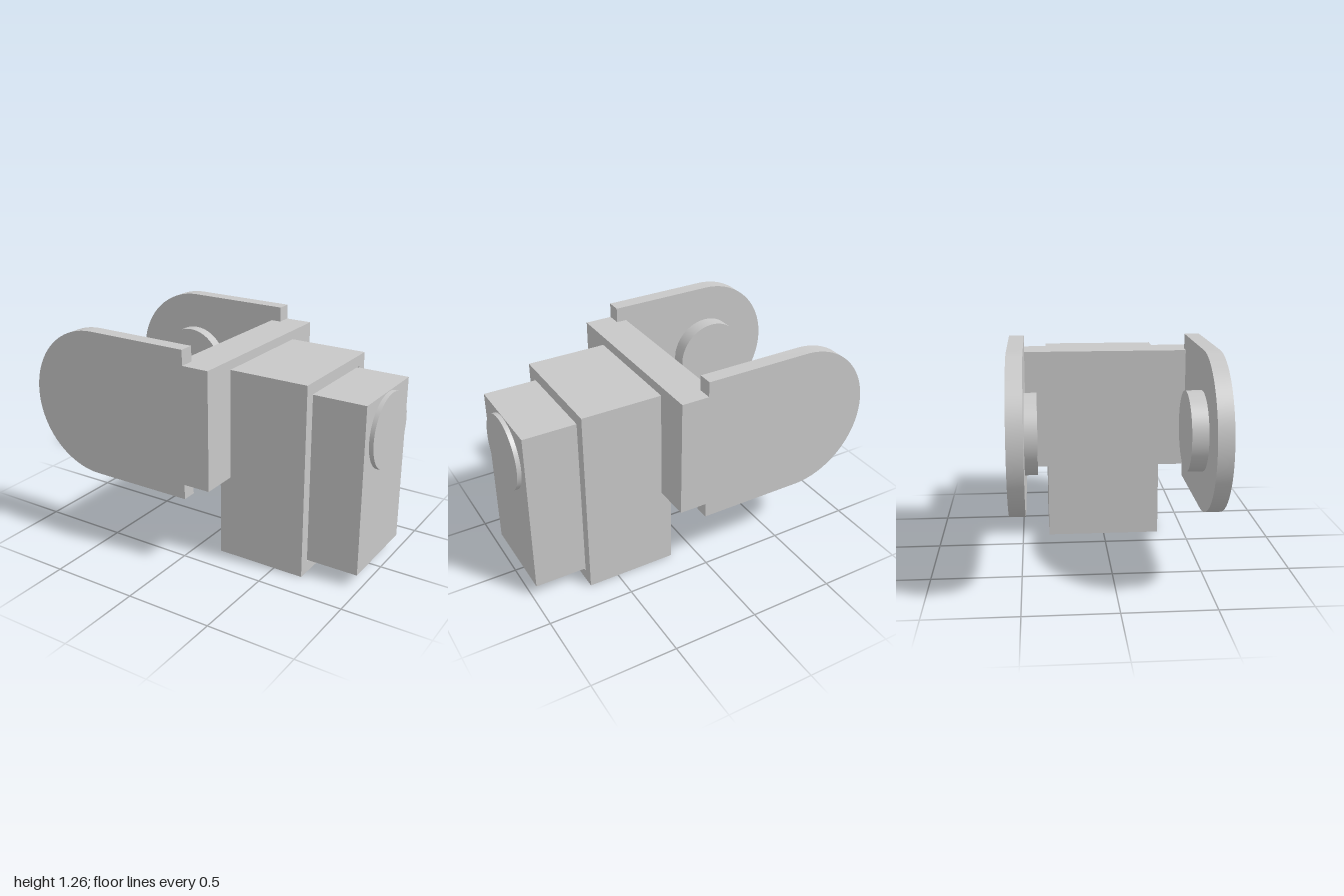
import * as THREE from 'three';
import { toCreasedNormals } from 'three/addons/utils/BufferGeometryUtils.js';

const AXIS_Y = 0.83; // height of the pivot axis

export function createModel() {
  const model = new THREE.Group();
  const grey = new THREE.MeshStandardMaterial({ color: 0xc8c8c8 });
  grey.name = 'light grey';

  const add = (name, geometry, x = 0, y = 0, z = 0) => {
    const mesh = new THREE.Mesh(geometry, grey);
    mesh.name = name;
    mesh.position.set(x, y, z);
    model.add(mesh);
    return mesh;
  };

  // Box given by its limits, symmetric about z = 0
  const block = (name, x0, x1, y0, y1, halfZ) =>
    add(name, new THREE.BoxGeometry(x1 - x0, y1 - y0, halfZ * 2), (x0 + x1) / 2, (y0 + y1) / 2, 0);

  // Rounded fork arm with a narrower root that joins the crossbar
  const r = 0.43, root = 0.343;
  const outline = new THREE.Shape();
  outline.moveTo(-0.57, -r);
  outline.lineTo(0.05, -r);
  outline.lineTo(0.05, -root);
  outline.lineTo(0.21, -root);
  outline.lineTo(0.21, root);
  outline.lineTo(0.05, root);
  outline.lineTo(0.05, r);
  outline.lineTo(-0.57, r);
  outline.absarc(-0.57, 0, r, Math.PI / 2, Math.PI * 1.5, false);
  const armGeometry = toCreasedNormals(
    new THREE.ExtrudeGeometry(outline, { depth: 0.085, bevelEnabled: false, curveSegments: 48 }), 0.5);
  add('leftForkArm', armGeometry, 0, AXIS_Y, 0.468);
  add('rightForkArm', armGeometry, 0, AXIS_Y, -0.553);

  // Pivot bosses on the inner faces of the arms; one is longer
  const boss = (name, z0, z1) => {
    const g = new THREE.CylinderGeometry(0.215, 0.215, z1 - z0, 64).rotateX(Math.PI / 2);
    add(name, g, -0.57, AXIS_Y, (z0 + z1) / 2);
  };
  boss('longPivotBoss', 0.38, 0.469);
  boss('shortPivotBoss', -0.469, -0.401);

  // Crossbar between the arms
  block('crossbar', -0.01, 0.21, AXIS_Y - root, AXIS_Y + root, 0.468);

  // Housing: closed back and an open frame with a narrow gap round the insert
  block('housingBack', 0.145, 0.25, 0, 1.12, 0.338);
  const rectangle = (path, halfZ, y0, y1) => {
    path.moveTo(-halfZ, y0);
    path.lineTo(halfZ, y0);
    path.lineTo(halfZ, y1);
    path.lineTo(-halfZ, y1);
    path.closePath();
    return path;
  };
  const frame = rectangle(new THREE.Shape(), 0.338, 0, 1.12);
  frame.holes.push(rectangle(new THREE.Path(), 0.275, 0.065, 1.055));
  add('housingFrame',
    new THREE.ExtrudeGeometry(frame, { depth: 0.425, bevelEnabled: false }).rotateY(Math.PI / 2), 0.25);

  // Insert and its round end disc
  block('insert', 0.25, 0.975, 0.072, 1.049, 0.266);
  add('endDisc', new THREE.CylinderGeometry(0.215, 0.215, 0.025, 64).rotateZ(-Math.PI / 2), 0.9875, AXIS_Y, 0);

  return model;
}
